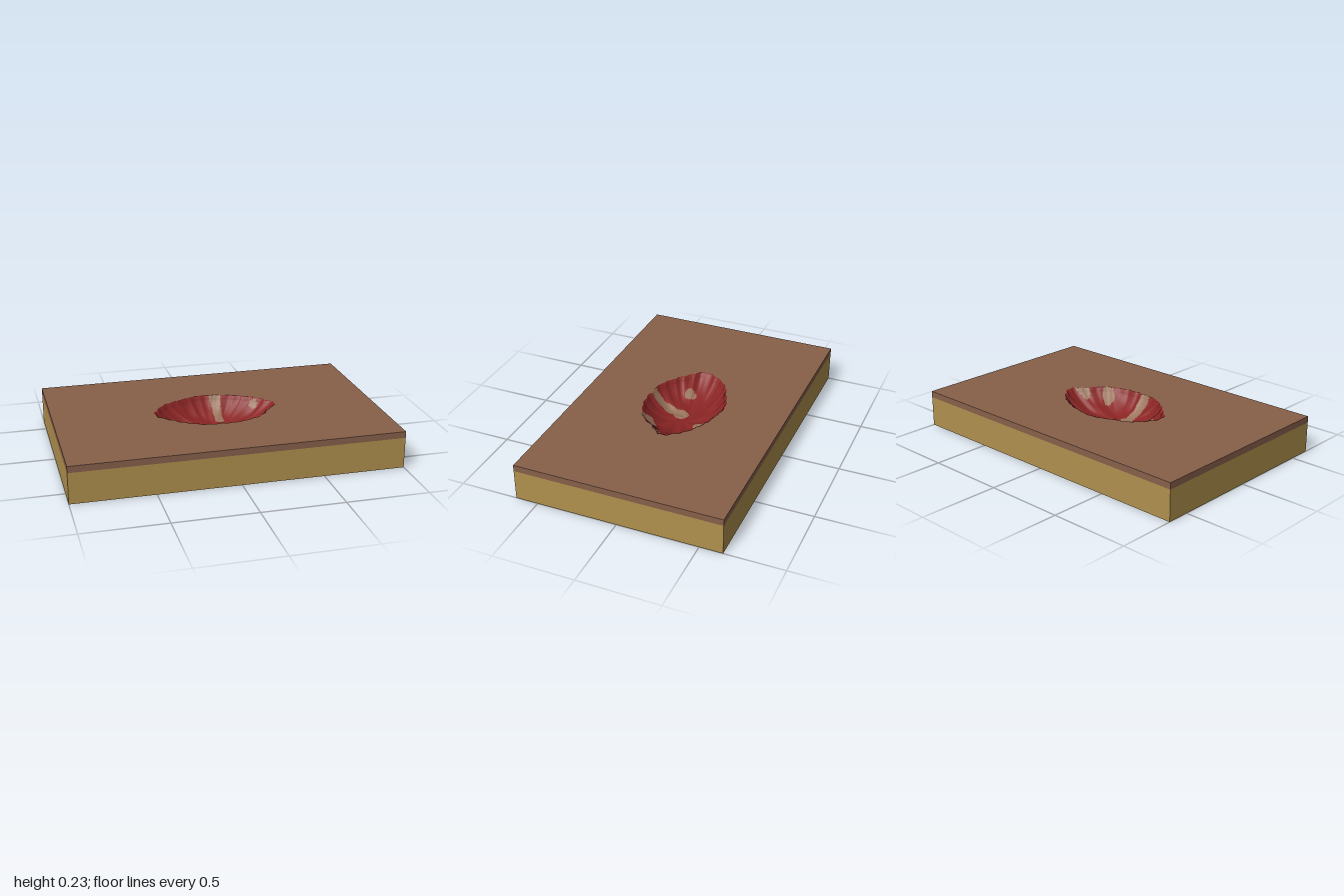
import * as THREE from 'three';

const TOP = 0.23, SEAM = 0.19, HX = 1, HZ = 0.64;
const DEPTH = 0.13, SEGS = 180, RINGS = 36;

const material = (name, color) =>
  new THREE.MeshStandardMaterial({ name, color, side: THREE.DoubleSide });

// Rim outline of the wound as [x, z], from the left tip round by the front
const OUTLINE = [
  [0.39, 0], [0.325, 0.085], [0.245, 0.18], [0.085, 0.24], [-0.04, 0.242], [-0.155, 0.222],
  [-0.27, 0.14], [-0.38, 0.01], [-0.29, -0.145], [-0.18, -0.2], [-0.04, -0.247],
  [0.14, -0.215], [0.3, -0.13],
];

// Pale patches as capsules: x1, z1, x2, z2, radius
const PATCHES = [
  [0.055, -0.25, 0.06, -0.21, 0.034], [0.06, -0.21, 0.057, -0.1, 0.027],
  [-0.04, 0.045, -0.04, 0.055, 0.045], [-0.045, 0.05, -0.05, 0.24, 0.034],
  [-0.228, 0.055, -0.222, 0.062, 0.032],
  [0.19, 0.155, 0.21, 0.16, 0.034], [0.21, 0.16, 0.245, 0.19, 0.026],
  [0.305, 0.06, 0.325, 0.07, 0.024], [0.32, 0.07, 0.37, 0.045, 0.02],
  [0.275, -0.115, 0.285, -0.108, 0.018],
];

function inPatch(x, z) {
  const wobble = 0.003 * Math.sin(x * 90) * Math.cos(z * 75);
  return PATCHES.some(([x1, z1, x2, z2, r]) => {
    const dx = x2 - x1, dz = z2 - z1;
    const t = THREE.MathUtils.clamp(((x - x1) * dx + (z - z1) * dz) / (dx * dx + dz * dz), 0, 1);
    return Math.hypot(x - x1 - t * dx, z - z1 - t * dz) < r + wobble;
  });
}

// Smooth outline with a ragged edge
function ragged() {
  let seed = 7;
  const rand = () => (seed = (seed * 16807) % 2147483647) / 2147483647;
  const curve = new THREE.CatmullRomCurve3(
    OUTLINE.map(([x, z]) => new THREE.Vector3(x, 0, z)), true, 'centripetal');
  return curve.getSpacedPoints(SEGS).slice(0, SEGS).map((p, j) => {
    const k = 1 + 0.012 * Math.sin(j * 0.9) + 0.02 * (rand() - 0.5);
    return { x: p.x * k, z: p.z * k, lift: 0.005 * rand() };
  });
}

// Bowl of shrinking rings, its faces sorted into flesh and pale patches
function bowlGeometry(rim) {
  const pos = [], flesh = [], pale = [];
  for (let i = 0; i <= RINGS; i++) {
    const s = 1 - i / RINGS;
    rim.forEach((p, j) => {
      const a = (j / SEGS) * Math.PI * 2;
      const mid = Math.sin(Math.PI * s);
      const fold = 1 + mid * (0.035 * Math.sin(a * 11) + 0.02 * Math.sin(a * 17 + 1));
      const lip = i === 1 ? p.lift + 0.006 : 0;
      const y = TOP - DEPTH * (1 - s ** 3.2) + lip + 0.004 * mid * Math.sin(a * 7 + s * 9);
      pos.push(p.x * s * fold, i === 0 ? TOP : y, p.z * s * fold);
    });
  }
  const add = (...tri) => {
    const mean = (k) => tri.reduce((sum, v) => sum + pos[v * 3 + k], 0) / 3;
    (inPatch(mean(0), mean(2)) ? pale : flesh).push(...tri);
  };
  for (let i = 0; i < RINGS; i++) {
    for (let j = 0; j < SEGS; j++) {
      const n = (j + 1) % SEGS;
      const a = i * SEGS + j, b = i * SEGS + n, c = a + SEGS, d = b + SEGS;
      add(a, c, b);
      if (i < RINGS - 1) add(c, d, b);
    }
  }
  const geo = new THREE.BufferGeometry();
  geo.setAttribute('position', new THREE.Float32BufferAttribute(pos, 3));
  geo.setIndex([...flesh, ...pale]);
  geo.addGroup(0, flesh.length, 0);
  geo.addGroup(flesh.length, pale.length, 1);
  geo.computeVertexNormals();
  return geo;
}

// Four thin walls round the open underside
function wallBand(name, y0, y1, mat) {
  const band = new THREE.Group();
  band.name = name;
  for (let k = 0; k < 4; k++) {
    const long = k % 2 === 0;
    const wall = new THREE.Mesh(new THREE.PlaneGeometry(2 * (long ? HX : HZ), y1 - y0), mat);
    const angle = (k * Math.PI) / 2, out = long ? HZ : HX;
    wall.position.set(Math.sin(angle) * out, (y0 + y1) / 2, Math.cos(angle) * out);
    wall.rotation.y = angle;
    wall.name = name + 'Side';
    band.add(wall);
  }
  return band;
}

export function createModel() {
  const skin = material('skin', 0x87604a);
  const fat = material('fat', 0xb0904e);
  const flesh = material('flesh', 0x8a2424);
  const pale = material('paleTissue', 0x9a745c);

  const model = new THREE.Group();
  model.name = 'woundBlock';
  const rim = ragged();

  // Skin sheet with the wound opening
  const sheet = new THREE.Shape([
    new THREE.Vector2(-HX, -HZ), new THREE.Vector2(HX, -HZ),
    new THREE.Vector2(HX, HZ), new THREE.Vector2(-HX, HZ),
  ]);
  sheet.holes.push(new THREE.Path(rim.map((p) => new THREE.Vector2(p.x, -p.z))));
  const top = new THREE.Mesh(new THREE.ShapeGeometry(sheet).rotateX(-Math.PI / 2), skin);
  top.position.y = TOP;
  top.name = 'skinSheet';

  // Wound bowl
  const wound = new THREE.Mesh(bowlGeometry(rim), [flesh, pale]);
  wound.name = 'woundBowl';

  model.add(top, wound,
    wallBand('skinEdge', SEAM, TOP, skin),
    wallBand('fatLayer', 0, SEAM, fat));
  return model;
}
